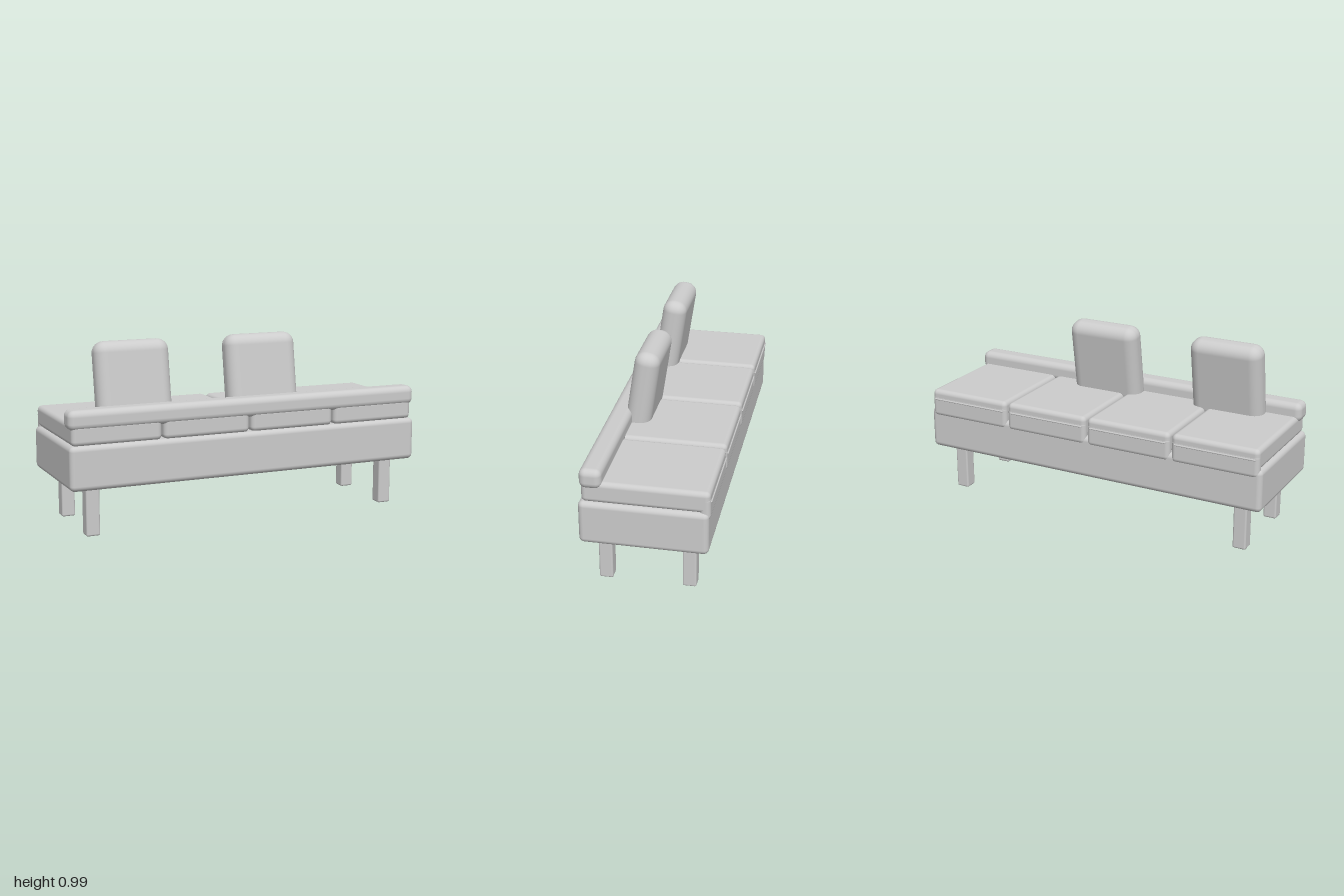
import * as THREE from 'three';
import { RoundedBoxGeometry } from 'three/addons/geometries/RoundedBoxGeometry.js';

const fabric = new THREE.MeshStandardMaterial({ color: 0xcccccc });
fabric.name = 'lightGrey';

// Rounded box given by its [min, max] extents on each axis
function block(name, [x0, x1], [y0, y1], [z0, z1], radius, segments = 3) {
  const geometry = new RoundedBoxGeometry(x1 - x0, y1 - y0, z1 - z0, segments, radius);
  const mesh = new THREE.Mesh(geometry, fabric);
  mesh.name = name;
  mesh.position.set((x0 + x1) / 2, (y0 + y1) / 2, (z0 + z1) / 2);
  return mesh;
}

export function createModel() {
  const sofa = new THREE.Group();
  sofa.name = 'sofa';

  // Upholstered base
  sofa.add(block('base', [-1, 1], [0.257, 0.49], [-0.32, 0.333], 0.028));

  // Four legs
  for (const x of [-0.862, 0.862]) {
    for (const z of [-0.209, 0.222]) {
      sofa.add(block('leg', [x - 0.037, x + 0.037], [0, 0.29], [z - 0.036, z + 0.036], 0.01, 2));
    }
  }

  // Seat cushions with a lip over the base edge and a line of piping
  for (let i = 0; i < 4; i++) {
    const x = -0.7425 + i * 0.495;
    const span = [x - 0.242, x + 0.242];
    const cushion = new THREE.Group();
    cushion.name = 'seatCushion';
    cushion.add(block('cushionPad', span, [0.485, 0.6], [-0.325, 0.318], 0.026));
    cushion.add(block('cushionLip', span, [0.445, 0.575], [-0.326, -0.27], 0.025));
    const piping = new THREE.Mesh(new THREE.CapsuleGeometry(0.005, 0.44, 3, 8), fabric);
    piping.name = 'piping';
    piping.rotation.z = Math.PI / 2;
    piping.position.set(x, 0.547, -0.327);
    cushion.add(piping);
    sofa.add(cushion);
  }

  // Long bolster rail
  sofa.add(block('bolsterRail', [-1, 1], [0.565, 0.67], [0.21, 0.325], 0.035));

  // Two leaning back pillows
  for (const x of [-0.606, 0.124]) {
    const pillow = block('backPillow', [x - 0.203, x + 0.203], [0.54, 0.99], [0.091, 0.227], 0.06, 4);
    pillow.rotation.x = -0.155;
    sofa.add(pillow);
  }

  return sofa;
}
